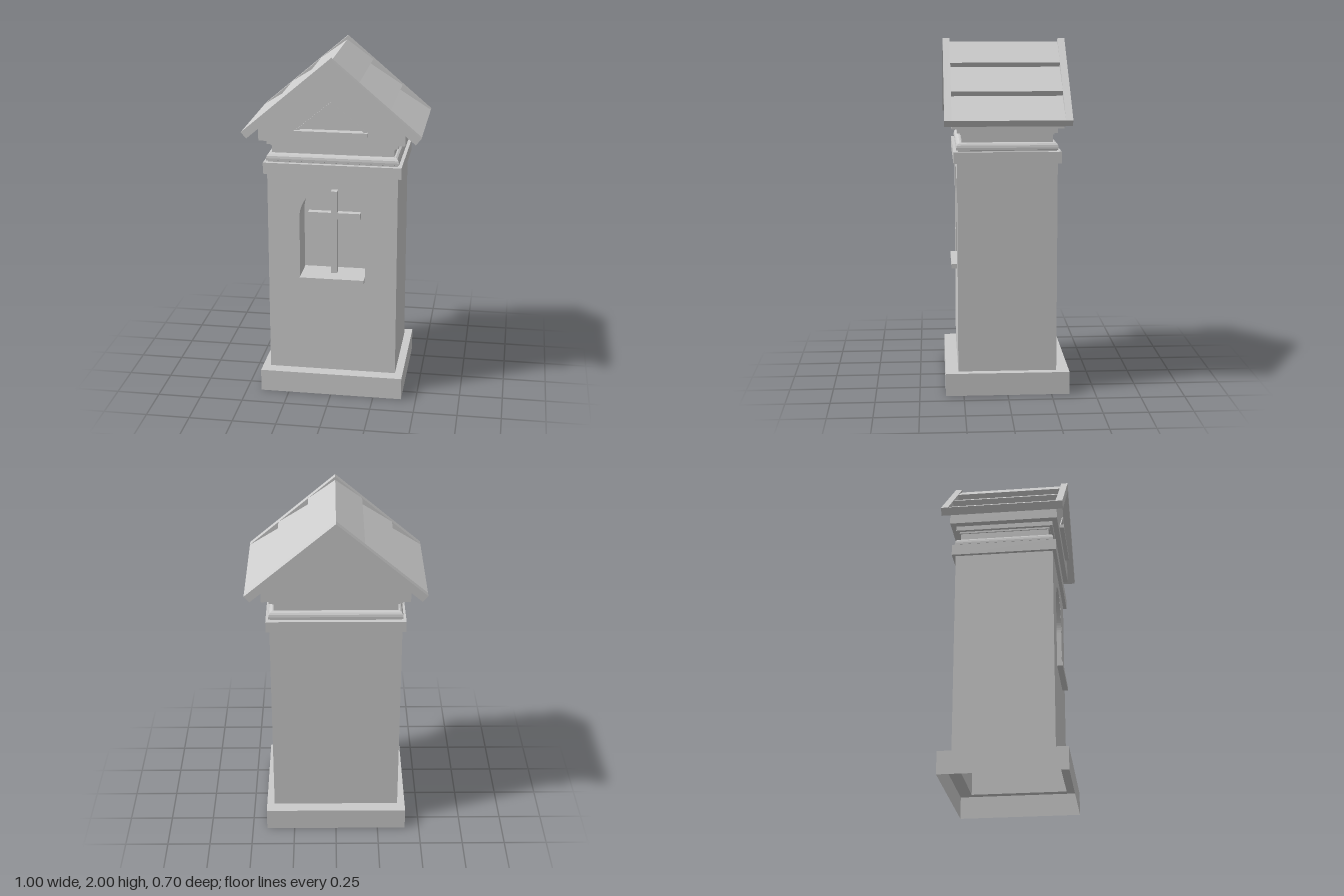
import * as THREE from 'three';

const mat = new THREE.MeshStandardMaterial({ color: 0xcccccc, side: THREE.DoubleSide });

export function createModel() {
  const model = new THREE.Group();

  const add = (name, geometry, x = 0, y = 0, z = 0) => {
    const mesh = new THREE.Mesh(geometry, mat);
    mesh.name = name;
    mesh.position.set(x, y, z);
    model.add(mesh);
    return mesh;
  };
  // Box given by its half width and its y and z ranges
  const block = (name, hx, y0, y1, z0, z1) =>
    add(name, new THREE.BoxGeometry(2 * hx, y1 - y0, z1 - z0), 0, (y0 + y1) / 2, (z0 + z1) / 2);
  const polygon = (pts) => new THREE.Shape(pts.map(([x, y]) => new THREE.Vector2(x, y)));
  // Right half outline, top to bottom, closed by its mirror image
  const mirrored = (pts) => polygon([...pts, ...pts.map(([x, y]) => [-x, y]).reverse()]);
  const slab = (name, shape, z0, z1) =>
    add(name, new THREE.ExtrudeGeometry(shape, { depth: z1 - z0, bevelEnabled: false, curveSegments: 20 }), 0, 0, z0);

  // Rectangular shell through levels of [half x, half z, y]; the fourth side is the front
  const shell = (name, levels, sides = 4) => {
    const corners = [[1, 1], [1, -1], [-1, -1], [-1, 1]];
    const at = ([hx, hz, y], i) => [corners[i % 4][0] * hx, y, corners[i % 4][1] * hz];
    const pos = [];
    for (let k = 0; k < levels.length - 1; k++) {
      for (let i = 0; i < sides; i++) {
        const a = at(levels[k], i), b = at(levels[k], i + 1);
        const c = at(levels[k + 1], i + 1), d = at(levels[k + 1], i);
        pos.push(...a, ...b, ...c, ...a, ...c, ...d);
      }
    }
    const g = new THREE.BufferGeometry();
    g.setAttribute('position', new THREE.Float32BufferAttribute(pos, 3));
    g.computeVertexNormals();
    return add(name, g);
  };

  // Plinth and hollow shaft, open at the bottom
  const W = 0.37, D = 0.28;
  shell('plinth', [[0.415, 0.352, 0], [0.415, 0.352, 0.13], [W, D, 0.13]]);
  shell('shaft', [[W, D, 0.13], [W, D, 1.33]], 3);

  // Front wall with arched niche
  const arch = (r, y0) => {
    const s = new THREE.Shape();
    s.moveTo(-r, y0);
    s.lineTo(r, y0);
    s.lineTo(r, 1.07);
    s.absarc(0, 1.07, r, 0, Math.PI, false);
    s.closePath();
    return s;
  };
  const wall = polygon([[-W, 0.13], [W, 0.13], [W, 1.33], [-W, 1.33]]);
  wall.holes.push(arch(0.188, 0.69));
  add('frontWall', new THREE.ShapeGeometry(wall, 20), 0, 0, D);
  const liner = arch(0.192, 0.686);
  liner.holes.push(arch(0.188, 0.69));
  slab('nicheLining', liner, 0.115, D - 0.001);
  add('nicheBack', new THREE.ShapeGeometry(arch(0.19, 0.688), 20), 0, 0, 0.116);
  block('nicheSill', 0.185, 0.69, 0.715, 0.118, 0.312);

  // Cross standing in the niche
  block('crossUpright', 0.018, 0.715, 1.21, 0.175, 0.215);
  block('crossArm', 0.15, 1.045, 1.082, 0.176, 0.214);

  // Stepped cornice: [offset from shaft, y]
  const cornice = [
    [0, 1.325], [0.02, 1.325], [0.02, 1.39], [-0.005, 1.39], [-0.005, 1.397],
    [0.004, 1.4], [0.004, 1.412], [0.001, 1.425], [-0.006, 1.435], [-0.016, 1.44],
    [-0.025, 1.44], [-0.025, 1.482], [-0.018, 1.482], [-0.018, 1.493], [0, 1.493], [0, 1.522],
  ];
  shell('cornice', cornice.map(([o, y]) => [W + o, D + o, y]));

  // Gable block with a recessed triangle in its front
  const gable = () => mirrored([[0, 1.945], [0.41, 1.595], [0.41, 1.52]]);
  const triangle = (hx, top) => polygon([[-hx, 1.59], [hx, 1.59], [0, top]]);
  slab('gable', gable(), -0.31, 0.285);
  const gableFront = gable();
  gableFront.holes.push(triangle(0.18, 1.74));
  slab('gableFront', gableFront, 0.285, 0.31);
  const trim = triangle(0.2, 1.755);
  trim.holes.push(triangle(0.18, 1.74));
  slab('triangleTrim', trim, 0.305, 0.316);
  block('triangleLedge', 0.205, 1.568, 1.59, 0.305, 0.335);

  // Roof of three overlapping courses per side
  slab('roofCourses', mirrored([
    [0, 1.98], [0.155, 1.868], [0.137, 1.843], [0.33, 1.72],
    [0.312, 1.693], [0.5, 1.575], [0.47, 1.54], [0, 1.94],
  ]), -0.31, 0.31);

  // Plain verge boards at both ends
  for (const [name, z] of [['frontVerge', 0.31], ['backVerge', -0.35]]) {
    slab(name, mirrored([[0, 2], [0.5, 1.575], [0.47, 1.54], [0, 1.94]]), z, z + 0.04);
  }

  return model;
}
